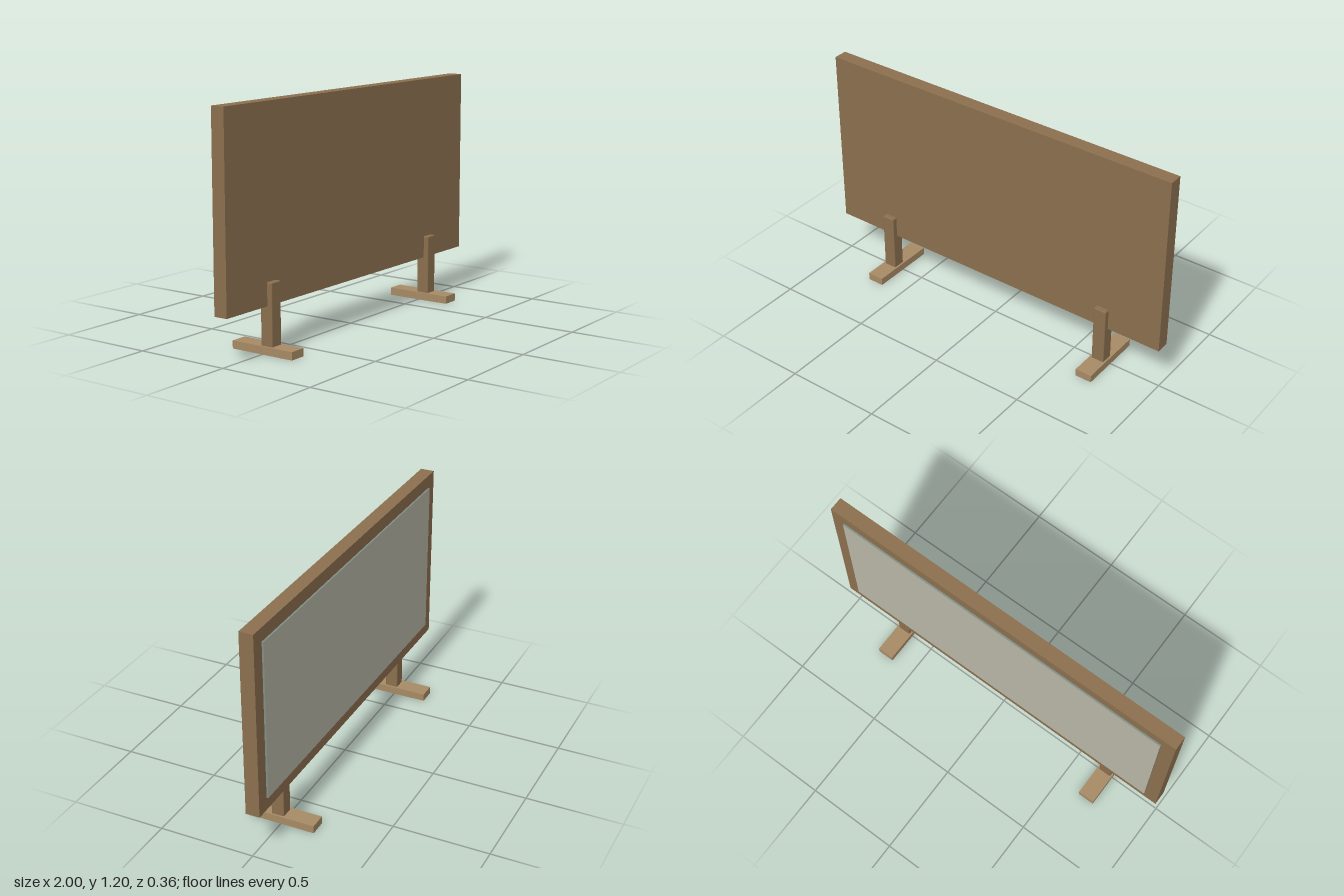
import * as THREE from 'three';
import { RoundedBoxGeometry } from 'three/addons/geometries/RoundedBoxGeometry.js';

const material = (name, color) => {
  const m = new THREE.MeshStandardMaterial({ color });
  m.name = name;
  return m;
};

export function createModel() {
  const wood = material('brown wood', 0x8b6f4e);
  const paleWood = material('pale wood', 0xa68a64);
  const panelGrey = material('warm grey panel', 0xb8b6a6);
  const edgeGrey = material('green grey edge', 0x7f8f86);
  const screwDark = material('dark screw', 0x4a3d30);

  const model = new THREE.Group();
  model.name = 'freestandingScreen';

  const add = (parent, name, geometry, mat, x, y, z) => {
    const mesh = new THREE.Mesh(geometry, mat);
    mesh.name = name;
    mesh.position.set(x, y, z);
    parent.add(mesh);
    return mesh;
  };

  // Wooden body of the screen
  add(model, 'body', new THREE.BoxGeometry(2, 0.965, 0.073), wood, 0, 0.7175, -0.0085);

  // Raised panel on the back: only its -z face is pale, the rim is darker
  const rim = [edgeGrey, edgeGrey, edgeGrey, edgeGrey, edgeGrey, panelGrey];
  add(model, 'backPanel', new THREE.BoxGeometry(1.856, 0.828, 0.009), rim, 0, 0.716, -0.0495);

  // Two stands, mirrored left and right
  for (const side of [-1, 1]) {
    const stand = new THREE.Group();
    stand.name = side > 0 ? 'leftStand' : 'rightStand';
    stand.position.x = side * 0.6725;
    model.add(stand);

    add(stand, 'foot', new THREE.BoxGeometry(0.09, 0.04, 0.358), paleWood, 0, 0.02, 0);
    add(stand, 'post', new RoundedBoxGeometry(0.07, 0.33, 0.068, 2, 0.006), wood, 0, 0.186, 0.021);
    // Screw head set in the underside of the foot
    add(stand, 'screw', new THREE.CylinderGeometry(0.012, 0.012, 0.004, 16), screwDark, 0, 0.0015, 0.021);
  }

  return model;
}
